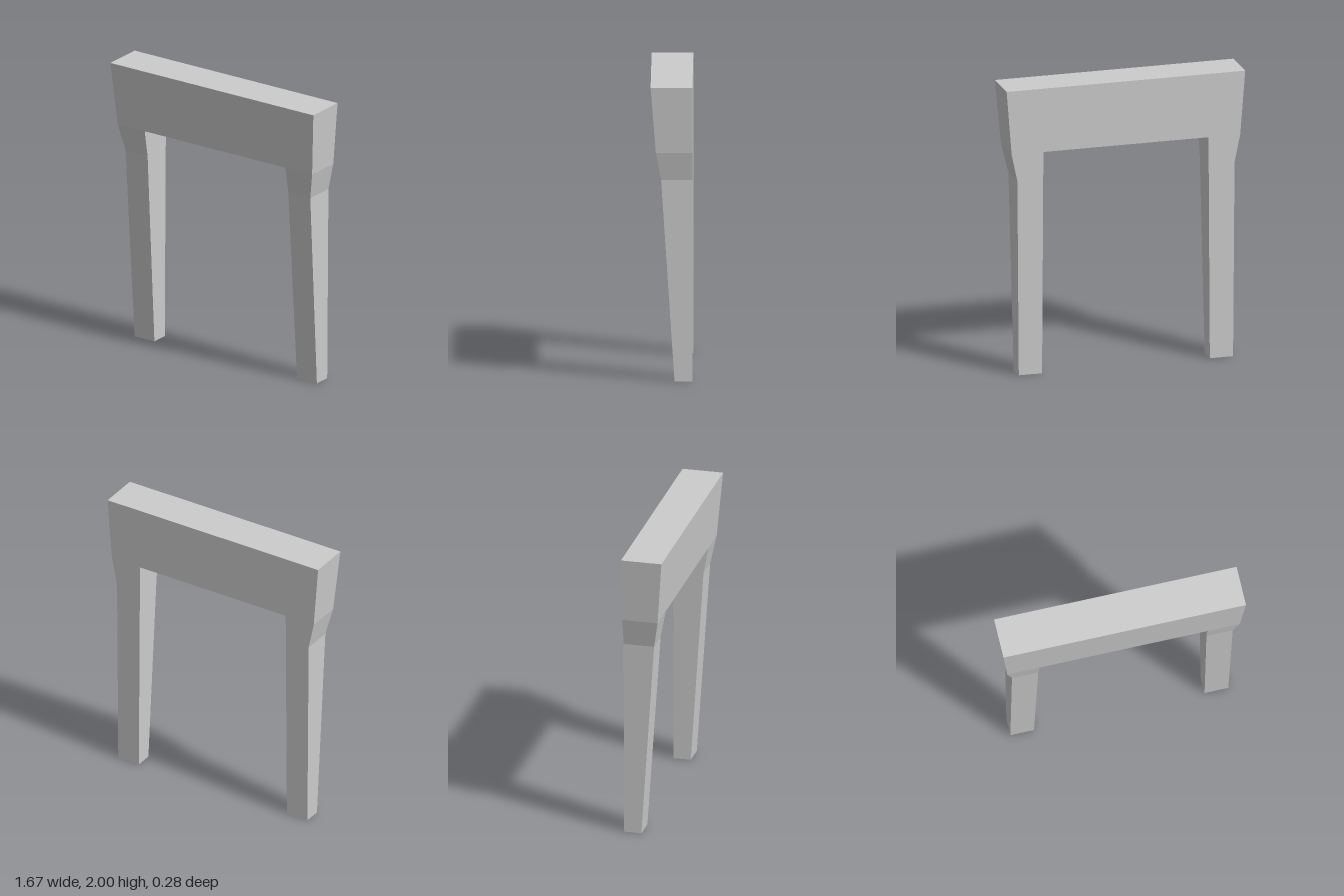
import * as THREE from 'three';

const BACK = -0.14;
const SOFFIT = 1.555;

// Height, inner x, outer x and front z of each level of a leg
const LEG = [
  { y: 0, inner: 0.587, outer: 0.75, front: -0.02 },
  { y: 1.365, inner: 0.579, outer: 0.76, front: 0.07 },
  { y: SOFFIT, inner: 0.578, outer: 0.8, front: 0.105 },
];
const TOP = { y: 2, outer: 0.835, front: 0.14 };

// Rectangle at height y, counter-clockwise seen from above
function ring(y, x0, x1, front) {
  return [[x0, y, front], [x1, y, front], [x1, y, BACK], [x0, y, BACK]];
}

// Flat-sided solid through stacked rings, with optional extra end faces
function loft(name, rings, caps) {
  const pos = [];
  const quad = (a, b, c, d) => pos.push(...a, ...b, ...c, ...a, ...c, ...d);
  for (let k = 0; k < rings.length - 1; k++) {
    for (let i = 0; i < 4; i++) {
      const j = (i + 1) % 4;
      quad(rings[k][i], rings[k][j], rings[k + 1][j], rings[k + 1][i]);
    }
  }
  caps.forEach((cap) => quad(...cap));
  const geometry = new THREE.BufferGeometry();
  geometry.setAttribute('position', new THREE.Float32BufferAttribute(pos, 3));
  geometry.computeVertexNormals();
  const material = new THREE.MeshStandardMaterial({ color: 0xcccccc, flatShading: true });
  const mesh = new THREE.Mesh(geometry, material);
  mesh.name = name;
  return mesh;
}

export function createModel() {
  const group = new THREE.Group();
  group.name = 'portalFrame';

  // Tapered legs, open where they join the beam
  for (const side of [1, -1]) {
    const rings = LEG.map(({ y, inner, outer, front }) =>
      side > 0 ? ring(y, inner, outer, front) : ring(y, -outer, -inner, front));
    group.add(loft(side > 0 ? 'leftLeg' : 'rightLeg', rings, [[...rings[0]].reverse()]));
  }

  // Beam flaring upwards, with its underside only between the legs
  const joint = LEG[2];
  const bottom = ring(SOFFIT, -joint.outer, joint.outer, joint.front);
  const top = ring(TOP.y, -TOP.outer, TOP.outer, TOP.front);
  const underside = ring(SOFFIT, -joint.inner, joint.inner, joint.front).reverse();
  group.add(loft('topBeam', [bottom, top], [top, underside]));

  return group;
}
